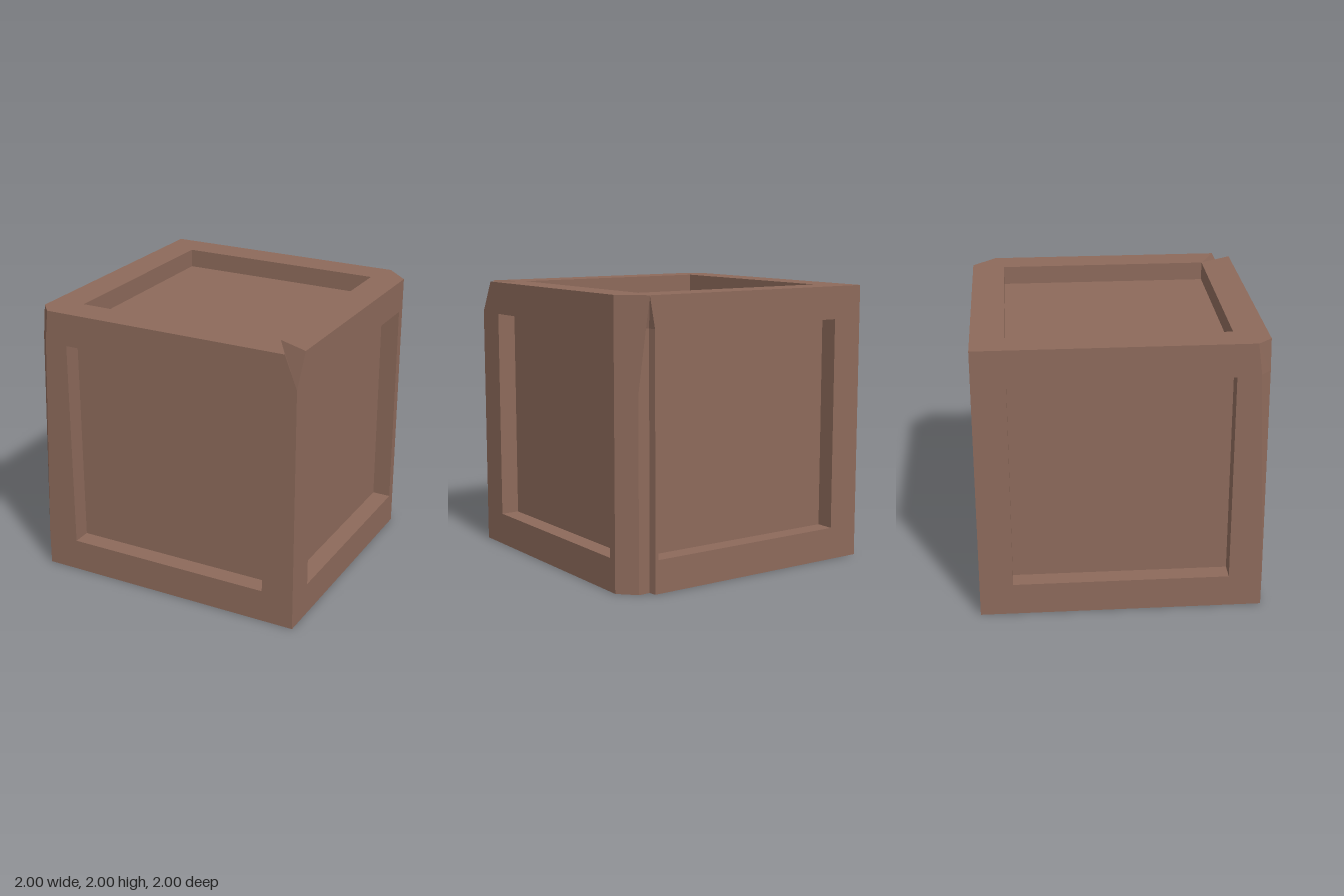
import * as THREE from 'three';

const HALF = 0.765;   // half width of each recessed panel
const DEPTH = 0.135;  // depth of each recess

// Flat polygons (counter-clockwise, convex) as one faceted geometry
function polygons(list) {
  const pos = [];
  for (const p of list)
    for (let i = 1; i < p.length - 1; i++) pos.push(...p[0], ...p[i], ...p[i + 1]);
  const g = new THREE.BufferGeometry();
  g.setAttribute('position', new THREE.Float32BufferAttribute(pos, 3));
  g.computeVertexNormals();
  return g;
}

// Four inward walls and the floor of a recess, opening towards +z
function recessGeometry() {
  const c = [[-HALF, -HALF], [HALF, -HALF], [HALF, HALF], [-HALF, HALF]];
  const list = [c.map(([x, y]) => [x, y, -DEPTH])];
  c.forEach(([x, y], i) => {
    const [u, v] = c[(i + 1) % 4];
    list.push([[x, y, 0], [u, v, 0], [u, v, -DEPTH], [x, y, -DEPTH]]);
  });
  return polygons(list);
}

// Each side: outward turn and the rim outline, seen from outside
const SIDES = [
  { name: 'front', u: [1, 0, 0], v: [0, 1, 0],
    rim: [[-1, -1], [1, -1], [1, 0.77], [0.91, 1], [-0.91, 1], [-0.935, 0.78], [-1, -0.75]] },
  { name: 'leftSide', u: [0, 0, -1], v: [0, 1, 0],
    rim: [[-1, -1], [0.83, -1], [0.83, 1], [-0.88, 1], [-1, 0.77]] },
  { name: 'back', u: [-1, 0, 0], v: [0, 1, 0],
    rim: [[-0.79, -1], [1, -1], [1, 1], [-0.83, 1], [-0.79, 0.78]] },
  { name: 'rightSide', u: [0, 0, 1], v: [0, 1, 0],
    rim: [[-1, -1], [1, -1], [1, -0.75], [0.93, 0.78], [0.9, 1], [-1, 1]] },
  { name: 'top', u: [1, 0, 0], v: [0, 0, -1],
    rim: [[-1, -0.9], [-0.91, -1], [0.91, -1], [0.77, -0.77], [1, -0.88], [1, 0.83], [0.83, 1], [-1, 1]] },
  { name: 'bottom', u: [1, 0, 0], v: [0, 0, 1],
    rim: [[-1, -1], [0.79, -1], [0.8, -0.945], [0.885, -0.945], [1, -0.83], [1, 1], [-1, 1]] },
];

export function createModel() {
  const model = new THREE.Group();
  model.name = 'crate';
  const wood = new THREE.MeshStandardMaterial({ color: 0x8d6a5b });
  wood.name = 'brown wood';
  const add = (parent, name, geometry) => {
    const mesh = new THREE.Mesh(geometry, wood);
    mesh.name = name;
    parent.add(mesh);
  };

  // Six framed sides with recessed panels
  const recess = recessGeometry();
  for (const { name, u, v, rim } of SIDES) {
    const shape = new THREE.Shape(rim.map(([x, y]) => new THREE.Vector2(x, y)));
    shape.holes.push(new THREE.Path([[-HALF, -HALF], [-HALF, HALF], [HALF, HALF], [HALF, -HALF]]
      .map(([x, y]) => new THREE.Vector2(x, y))));
    const side = new THREE.Group();
    side.name = name;
    add(side, name + 'Frame', new THREE.ShapeGeometry(shape));
    add(side, name + 'Panel', recess);
    const U = new THREE.Vector3(...u), V = new THREE.Vector3(...v);
    const N = U.clone().cross(V);
    side.quaternion.setFromRotationMatrix(new THREE.Matrix4().makeBasis(U, V, N));
    side.position.copy(N).add(new THREE.Vector3(0, 1, 0));
    model.add(side);
  }

  // Back edge: wide chamfer with a groove that fades out at the top
  const tip = [0.83, 2, -1];
  const at = (x, z) => [[x, 0, z], [x, 1.78, z]];
  const [b0, b1] = at(0.885, -0.945), [c0, c1] = at(0.8, -0.945), [e0, e1] = at(0.79, -1);
  add(model, 'backEdgeChamfer', polygons([[[1, 0, -0.83], b0, b1, tip, [1, 2, -0.83]]]));
  add(model, 'backEdgeGroove', polygons([
    [b0, c0, c1, b1], [b1, c1, tip],
    [c0, e0, e1, c1], [c1, e1, tip],
  ]));

  // Front edge: chamfer tapering to a point near the base
  const m1 = [-1, 1.78, 0.93], m2 = [-0.935, 1.78, 1];
  add(model, 'frontEdgeChamfer', polygons([
    [[-1, 2, 0.9], m1, m2, [-0.91, 2, 1]],
    [m1, [-1, 0.25, 1], m2],
  ]));

  // Front top corner: V-shaped chip
  const low = [1, 1.77, 1], inner = [0.77, 2, 0.77];
  add(model, 'cornerChip', polygons([
    [[0.91, 2, 1], low, inner],
    [low, [1, 2, 0.88], inner],
  ]));

  return model;
}
